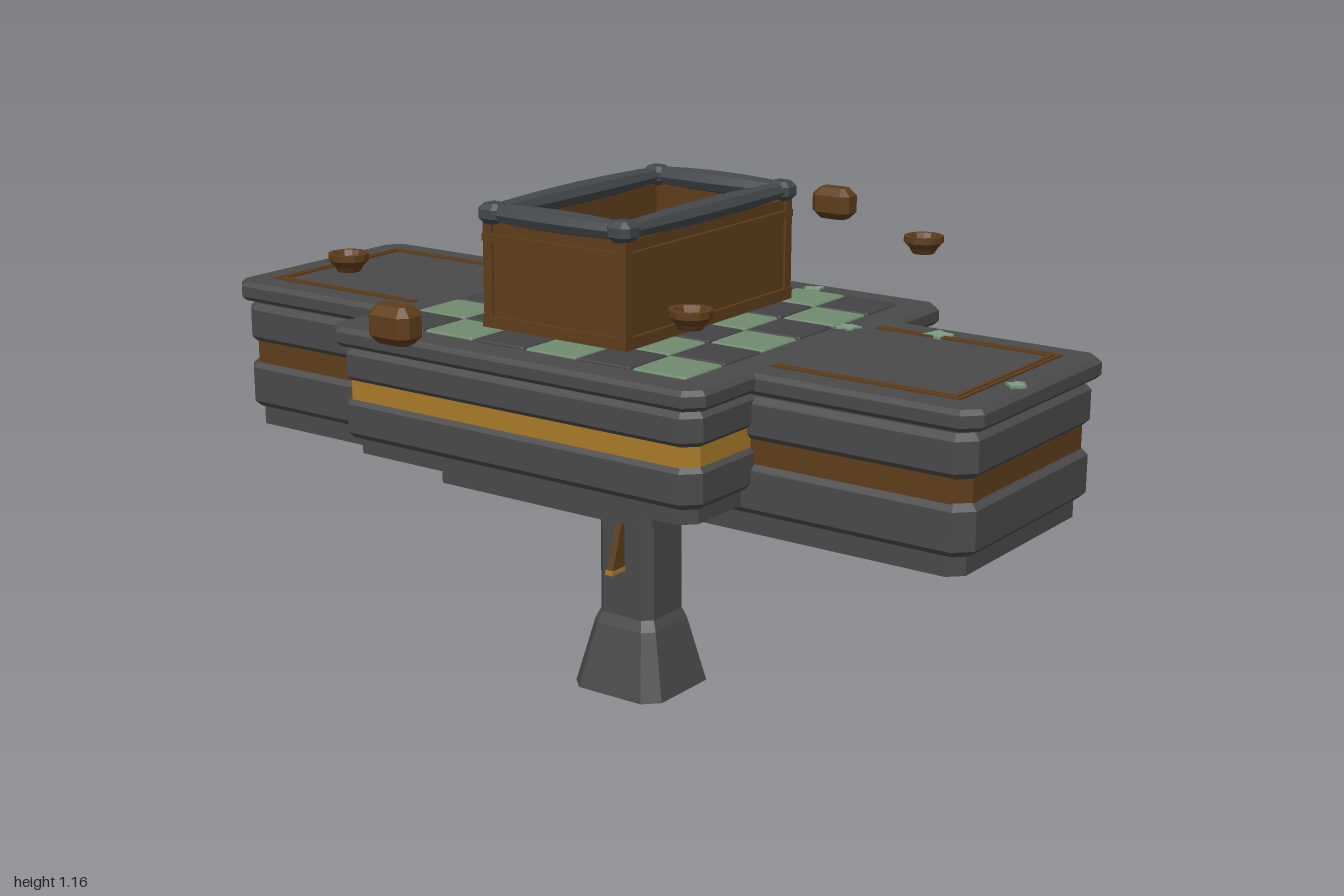
import * as THREE from 'three';

const mat = (name, color) => {
  const m = new THREE.MeshStandardMaterial({ color });
  m.name = name;
  return m;
};

export function createModel() {
  const stone = mat('stone', 0x4a4a4a);
  const tileStone = mat('dark tile stone', 0x434345);
  const bronze = mat('bronze', 0x5e3d1b);
  const darkBronze = mat('dark bronze', 0x43290f);
  const gold = mat('gold', 0xa97b28);
  const green = mat('green tile', 0x6f8a6e);
  const moss = mat('moss', 0x7d9a80);
  const rimMat = mat('slate rim', 0x43474a);

  const model = new THREE.Group();
  model.name = 'gameTable';

  const add = (name, geo, material, x = 0, y = 0, z = 0, parent = model) => {
    const m = new THREE.Mesh(geo, material);
    m.name = name;
    m.position.set(x, y, z);
    parent.add(m);
    return m;
  };
  const box = (name, w, h, d, material, x, y, z, parent) =>
    add(name, new THREE.BoxGeometry(w, h, d), material, x, y, z, parent);

  // Bevelled slab with cut corners, half sizes hx and hz, from y0 to y1
  const slabGeo = (hx, hz, y0, y1, cut, bevel) => {
    const s = new THREE.Shape([
      [hx - cut, -hz], [hx, -hz + cut], [hx, hz - cut], [hx - cut, hz],
      [-hx + cut, hz], [-hx, hz - cut], [-hx, -hz + cut], [-hx + cut, -hz],
    ].map(([x, y]) => new THREE.Vector2(x, y)));
    const g = new THREE.ExtrudeGeometry(s, {
      depth: y1 - y0 - 2 * bevel, bevelEnabled: bevel > 0, bevelSegments: 1,
      bevelThickness: bevel, bevelSize: bevel, bevelOffset: -bevel,
    });
    return g.rotateX(-Math.PI / 2).translate(0, y0 + bevel, 0);
  };
  const slab = (name, material, ...dims) => add(name, slabGeo(...dims), material);

  // Central block, layered from cap to foot
  slab('centreCap', stone, 0.497, 0.497, 0.832, 0.875, 0.035, 0.01);
  slab('centreNeck', stone, 0.465, 0.465, 0.81, 0.84, 0.03, 0);
  slab('centreUpper', stone, 0.482, 0.482, 0.75, 0.828, 0.035, 0.014);
  slab('centreBand', gold, 0.472, 0.472, 0.705, 0.76, 0.03, 0);
  slab('centreLower', stone, 0.482, 0.482, 0.622, 0.714, 0.035, 0.014);
  slab('centrePlinth', stone, 0.458, 0.458, 0.585, 0.63, 0.03, 0);
  slab('centreFoot', stone, 0.375, 0.288, 0.525, 0.59, 0.02, 0);

  // Long wings running front to back through the block
  slab('wingCap', stone, 0.288, 1, 0.828, 0.873, 0.035, 0.01);
  slab('wingNeck', stone, 0.262, 0.97, 0.8, 0.835, 0.03, 0);
  slab('wingUpper', stone, 0.276, 0.985, 0.727, 0.82, 0.035, 0.014);
  slab('wingBand', bronze, 0.264, 0.972, 0.67, 0.735, 0.03, 0);
  slab('wingLower', stone, 0.276, 0.985, 0.568, 0.678, 0.035, 0.014);
  slab('wingFoot', stone, 0.262, 0.962, 0.525, 0.575, 0.03, 0);

  // Pedestal: chamfered square column flaring to the base
  const rows = [[0.53, 0.075], [0.18, 0.075], [0.155, 0.086], [0, 0.123]];
  let pg = new THREE.CylinderGeometry(1, 1, 3, 8, 3, false, Math.PI / 8);
  const p = pg.attributes.position;
  for (let i = 0; i < p.count; i++) {
    const [y, r] = rows[Math.round(1.5 - p.getY(i))];
    const side = v => (Math.abs(v) < 0.01 ? 0 : Math.sign(v) * r * (Math.abs(v) > 0.7 ? 1 : 0.72));
    p.setXYZ(i, side(p.getX(i)), y, side(p.getZ(i)));
  }
  pg = pg.toNonIndexed();
  pg.computeVertexNormals();
  add('pedestal', pg, stone);

  // Side fins with gold soles
  for (const s of [-1, 1]) {
    const tri = new THREE.Shape([
      new THREE.Vector2(0, 0), new THREE.Vector2(0.05, 0), new THREE.Vector2(0, 0.155)]);
    const fin = add('fin', new THREE.ExtrudeGeometry(tri, { depth: 0.016, bevelEnabled: false }),
      bronze, s * 0.07, 0.3, s * -0.008);
    if (s < 0) { fin.rotation.y = Math.PI; fin.position.z = 0.008; }
    else fin.position.z = -0.008;
    box('finSole', 0.055, 0.01, 0.02, gold, s * 0.0975, 0.297, 0);
  }

  // Checkered top
  const pitch = 0.1395;
  for (let r = 0; r < 6; r++) {
    for (let c = 0; c < 6; c++) {
      const g = slabGeo(0.066, 0.066, 0.87, 0.88, 0.003, 0.003);
      add('tile', g, (r + c) % 2 ? green : tileStone, (c - 2.5) * pitch, 0, (r - 2.5) * pitch);
    }
  }

  // Sun medallion with pointer
  box('medallionPlate', 0.25, 0.008, 0.25, tileStone, 0, 0.879, 0);
  for (let i = 0; i < 4; i++) {
    box('ray', 0.26, 0.006, 0.014, bronze, 0, 0.884, 0).rotation.y = i * Math.PI / 4;
  }
  add('sunDisc', new THREE.CylinderGeometry(0.078, 0.078, 0.008, 24), gold, 0, 0.887, 0);
  box('pointerShaft', 0.07, 0.008, 0.014, darkBronze, 0.025, 0.895, 0);
  const head = new THREE.ConeGeometry(0.028, 0.06, 6).rotateZ(-Math.PI / 2).scale(1, 0.4, 1);
  add('pointerHead', head, darkBronze, 0.08, 0.897, 0);
  box('pointerStop', 0.008, 0.01, 0.08, darkBronze, -0.16, 0.885, 0);

  // Inlaid double lines on the wings
  for (const s of [-1, 1]) {
    for (const [hx, end, m] of [[0.213, 0.923, bronze], [0.2, 0.91, bronze]]) {
      for (const t of [-1, 1]) {
        box('inlaySide', 0.008, 0.006, end - 0.49, m, t * hx, 0.874, s * (end + 0.49) / 2);
      }
      box('inlayEnd', hx * 2 + 0.008, 0.006, 0.008, m, 0, 0.874, s * end);
    }
  }

  // Open chest frame
  const chest = new THREE.Group();
  chest.name = 'chest';
  model.add(chest);
  for (const s of [-1, 1]) {
    box('longWall', 0.612, 0.235, 0.016, bronze, 0, 0.993, s * 0.178, chest);
    box('endWall', 0.016, 0.235, 0.356, bronze, s * 0.3, 0.993, 0, chest);
    for (const [y, h] of [[0.893, 0.026], [1.078, 0.016]]) {
      box('longRail', 0.632, h, 0.012, bronze, 0, y, s * 0.188, chest);
      box('endRail', 0.012, h, 0.376, bronze, s * 0.31, y, 0, chest);
    }
    for (const t of [-1, 1]) {
      box('cornerPost', 0.024, 0.235, 0.024, bronze, s * 0.302, 0.993, t * 0.18, chest);
      add('rimCorner', slabGeo(0.03, 0.03, 1.108, 1.152, 0.014, 0.012), rimMat,
        s * 0.298, 0, t * 0.173, chest);
    }
  }

  // Bulging rim bars
  const barGeo = len => {
    const g = new THREE.CylinderGeometry(1, 1, len, 8, 8);
    const q = g.attributes.position;
    for (let i = 0; i < q.count; i++) {
      const u = q.getY(i) / (len / 2);
      const k = 0.72 + 0.28 * (1 - u * u);
      q.setXYZ(i, q.getX(i) * 0.026 * k, q.getY(i), q.getZ(i) * 0.03 * k);
    }
    const f = g.toNonIndexed();
    f.computeVertexNormals();
    return f.rotateZ(Math.PI / 2);
  };
  for (const s of [-1, 1]) {
    add('longRim', barGeo(0.6), rimMat, 0, 1.13, s * 0.174, chest);
    add('endRim', barGeo(0.36).rotateY(Math.PI / 2), rimMat, s * 0.298, 1.13, 0, chest);
  }

  // Floating cups above the corners
  const cup = [[0, 0], [0.025, 0], [0.032, 0.012], [0.045, 0.026], [0.045, 0.04],
    [0.034, 0.04], [0.026, 0.02], [0, 0.016]].map(([x, y]) => new THREE.Vector2(x, y));
  const cupGeo = new THREE.LatheGeometry(cup, 12).toNonIndexed();
  cupGeo.computeVertexNormals();
  for (const x of [-0.455, 0.455]) {
    for (const z of [-0.455, 0.455]) add('cup', cupGeo, bronze, x, 0.994, z);
  }

  // Floating side knobs
  for (const x of [-0.808, 0.808]) {
    add('knob', slabGeo(0.036, 0.053, 0.968, 1.046, 0.018, 0.018), bronze, x, 0, 0);
  }

  // Moss patches
  [[-0.31, -0.455, 0.025], [0.44, 0.175, 0.025], [0.16, 0.44, 0.028],
    [0.22, 0.635, 0.032], [-0.06, 0.965, 0.022]].forEach(([x, z, r], n) => {
    const pts = [];
    for (let i = 0; i < 12; i++) {
      const a = i * Math.PI / 6;
      const k = r * (0.85 + 0.28 * Math.sin(i * 2.3 + n * 1.7));
      pts.push(new THREE.Vector2(Math.cos(a) * k, Math.sin(a) * k));
    }
    const g = new THREE.ExtrudeGeometry(new THREE.Shape(pts), { depth: 0.006, bevelEnabled: false });
    add('mossPatch', g.rotateX(-Math.PI / 2), moss, x, 0.873, z);
  });

  return model;
}
